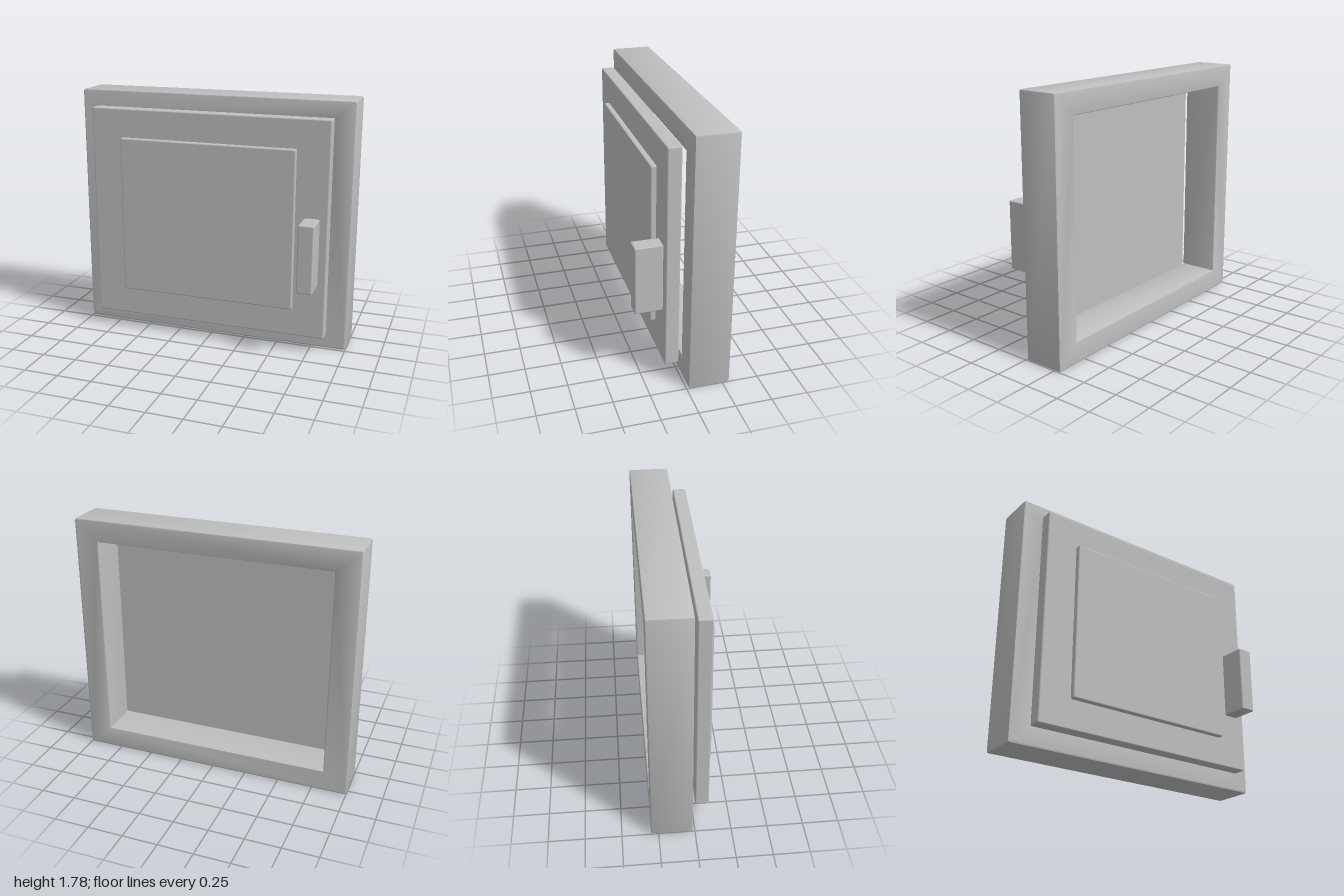
import * as THREE from 'three';
import { toCreasedNormals } from 'three/addons/utils/BufferGeometryUtils.js';
import { RoundedBoxGeometry } from 'three/addons/geometries/RoundedBoxGeometry.js';

const BEVEL = 0.01;

// Rectangle outline with rounded corners, centred on (0, cy)
function roundedRect(path, w, h, cy, r) {
  const x = w / 2, y0 = cy - h / 2, y1 = cy + h / 2;
  path.moveTo(-x + r, y0);
  path.lineTo(x - r, y0);
  path.quadraticCurveTo(x, y0, x, y0 + r);
  path.lineTo(x, y1 - r);
  path.quadraticCurveTo(x, y1, x - r, y1);
  path.lineTo(-x + r, y1);
  path.quadraticCurveTo(-x, y1, -x, y1 - r);
  path.lineTo(-x, y0 + r);
  path.quadraticCurveTo(-x, y0, -x + r, y0);
  return path;
}

export function createModel() {
  const model = new THREE.Group();
  model.name = 'wallHatch';
  const grey = new THREE.MeshStandardMaterial({ color: 0xbfbfbf });
  grey.name = 'light grey';

  const add = (name, geometry) => {
    const mesh = new THREE.Mesh(geometry, grey);
    mesh.name = name;
    model.add(mesh);
    return mesh;
  };

  // Softly rounded block given by its limits on each axis
  const block = (name, [x0, x1], [y0, y1], [z0, z1]) =>
    add(name, new RoundedBoxGeometry(x1 - x0, y1 - y0, z1 - z0, 2, BEVEL))
      .position.set((x0 + x1) / 2, (y0 + y1) / 2, (z0 + z1) / 2);

  // Deep frame, open right through; the bevel grows the outline and narrows the hole
  const back = -0.3, front = -0.015, cy = 0.89;
  const outline = roundedRect(new THREE.Shape(), 2 - 2 * BEVEL, 1.78 - 2 * BEVEL, cy, 0.006);
  outline.holes.push(roundedRect(new THREE.Path(), 1.66 + 2 * BEVEL, 1.47 + 2 * BEVEL, cy, 0.002));
  const frame = new THREE.ExtrudeGeometry(outline, {
    depth: front - back - 2 * BEVEL, curveSegments: 2,
    bevelSize: BEVEL, bevelThickness: BEVEL, bevelSegments: 2,
  });
  frame.translate(0, 0, back + BEVEL);
  add('frame', toCreasedNormals(frame, 0.7));

  // Door floating just in front of the frame, with a raised panel and handle
  block('door', [-0.87, 0.865], [0.12, 1.67], [0.015, 0.11]);
  block('raisedPanel', [-0.64, 0.637], [0.327, 1.465], [0.09, 0.148]);
  block('handle', [0.7, 0.81], [0.513, 0.995], [0.11, 0.3]);

  return model;
}
